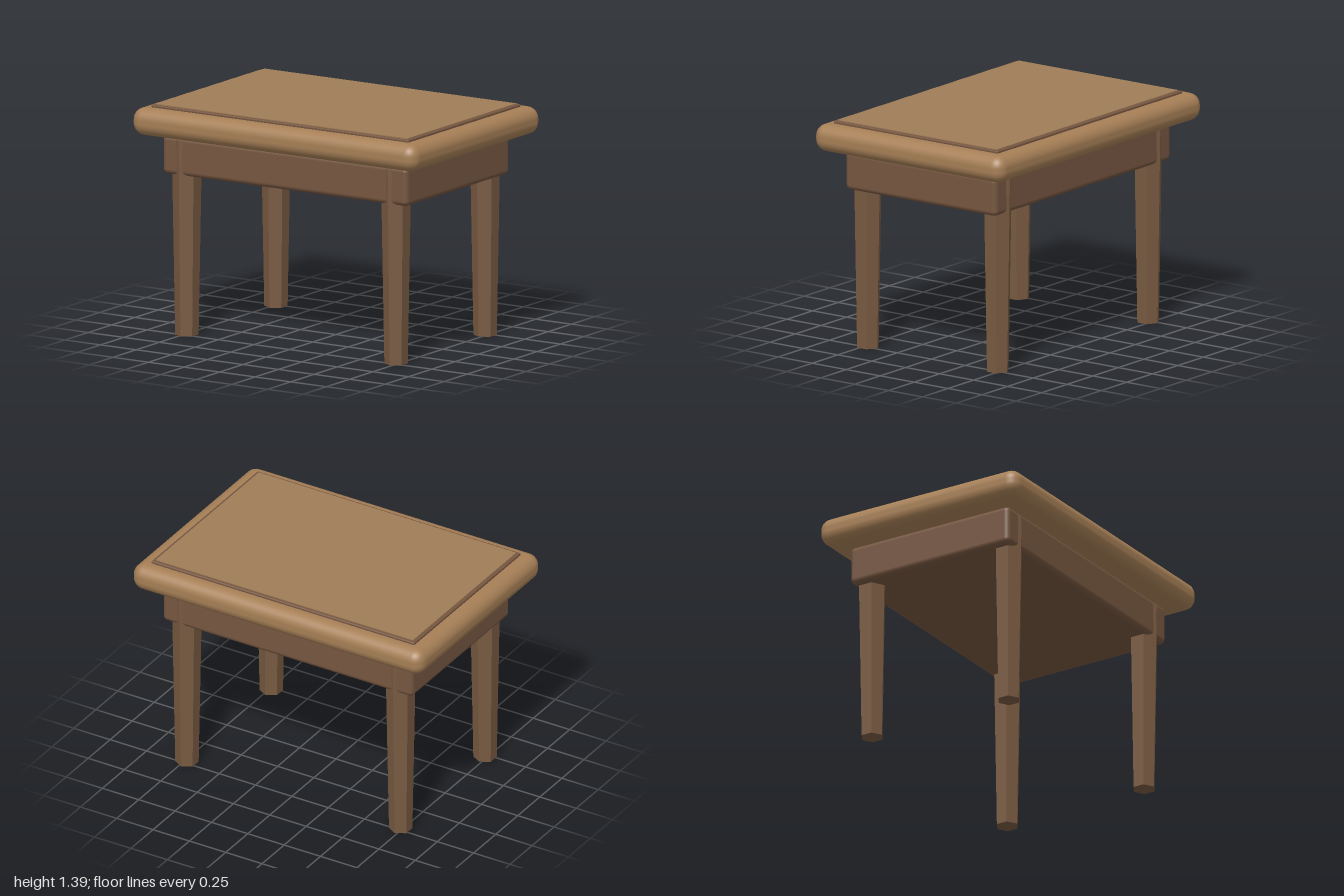
import * as THREE from 'three';
import { RoundedBoxGeometry } from 'three/addons/geometries/RoundedBoxGeometry.js';

const material = (name, color, flatShading = false) => {
  const m = new THREE.MeshStandardMaterial({ color, flatShading });
  m.name = name;
  return m;
};

export function createModel() {
  const table = new THREE.Group();
  table.name = 'table';

  const lightWood = material('light wood', 0xa67f56);
  const panelWood = material('panel wood', 0xa07d58);
  const darkWood = material('dark wood', 0x765640);
  const legWood = material('leg wood', 0x785a41, true);

  // Rounded slab centred on the vertical axis, between two heights
  const slab = (name, width, depth, bottom, top, radius, segments, mat) => {
    const height = top - bottom;
    const mesh = new THREE.Mesh(new RoundedBoxGeometry(width, height, depth, segments, radius), mat);
    mesh.name = name;
    mesh.position.y = (bottom + top) / 2;
    table.add(mesh);
  };

  slab('tableTop', 2, 1.39, 1.205, 1.37, 0.072, 4, lightWood);
  slab('apron', 1.72, 1.11, 0.967, 1.2, 0.03, 3, darkWood);
  slab('topTrim', 1.81, 1.21, 1.365, 1.385, 0.008, 2, darkWood);

  // Thin inlaid panel inside the trim
  const panel = new THREE.Mesh(new THREE.BoxGeometry(1.77, 0.009, 1.17), panelWood);
  panel.name = 'topPanel';
  panel.position.y = 1.3855;
  table.add(panel);

  // Four tapered six-sided legs, slightly proud of the apron front and back
  const legHeight = 1.18;
  const legGeometry = new THREE.CylinderGeometry(0.09, 0.069, legHeight, 6);
  for (const x of [-1, 1]) {
    for (const z of [-1, 1]) {
      const leg = new THREE.Mesh(legGeometry, legWood);
      leg.name = `${z > 0 ? 'front' : 'back'}${x > 0 ? 'Left' : 'Right'}Leg`;
      leg.position.set(x * 0.735, legHeight / 2, z * 0.478);
      table.add(leg);
    }
  }

  return table;
}
